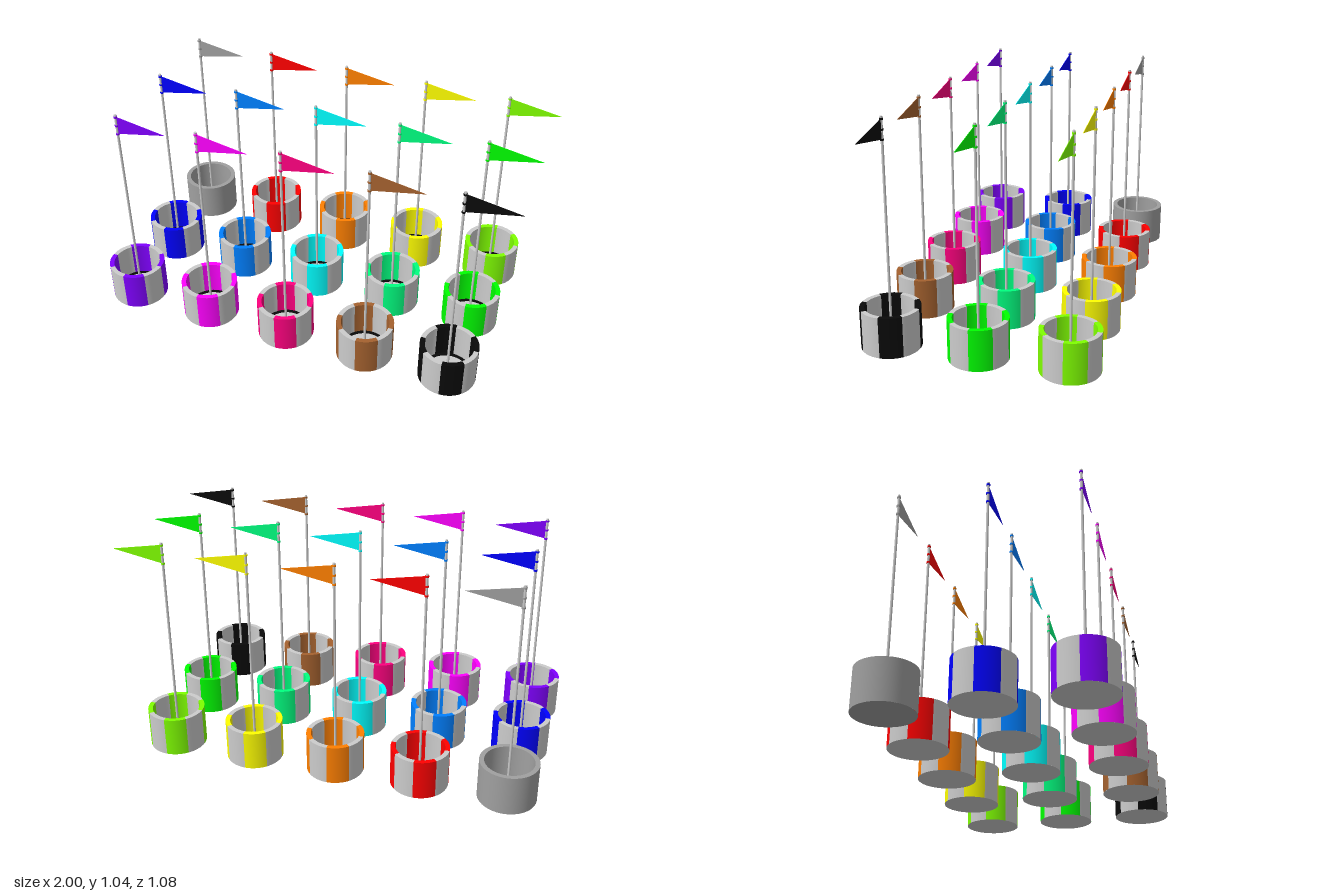
import * as THREE from 'three';
import { mergeGeometries } from 'three/addons/utils/BufferGeometryUtils.js';

const R = 0.135, INNER = 0.113, HEIGHT = 0.19, FLOOR = 0.02;
const SPACING = 0.405, FIRST_X = -0.865, POLE_TOP = 1.04;

// Rows run from back to front, each from right to left of the model
const GREY = 0xcccccc;
const COLORS = [
  [0xa0a0a0, 0xff0000, 0xff8000, 0xffff00, 0x80ff00],
  [0x0000ff, 0x0080ff, 0x00ffff, 0x00ff80, 0x00ff00],
  [0x8000ff, 0xff00ff, 0xff0080, 0xa5622f, 0x0a0a0a],
];

// Revolve each straight edge of a profile on its own so corners stay sharp
function revolve(profile, start = 0, length = Math.PI * 2, segments = 48) {
  const pts = profile.map(([x, y]) => new THREE.Vector2(x, y));
  const edges = [];
  for (let i = 0; i < pts.length - 1; i++) {
    edges.push(new THREE.LatheGeometry([pts[i], pts[i + 1]], segments, start, length));
  }
  return mergeGeometries(edges);
}

// Four alternating eighths of the cup wall
function wallStripes(offset) {
  const wall = [[R, 0], [R, HEIGHT], [INNER, HEIGHT], [INNER, FLOOR]];
  const parts = [];
  for (let i = offset; i < 8; i += 2) {
    parts.push(revolve(wall, i * Math.PI / 4, Math.PI / 4, 8));
  }
  return mergeGeometries(parts);
}

// Thin triangular pennant pointing to +x
function pennant() {
  const shape = new THREE.Shape();
  shape.moveTo(0, 0.94);
  shape.lineTo(0.245, 0.985);
  shape.lineTo(0, 1.03);
  shape.closePath();
  const g = new THREE.ExtrudeGeometry(shape, { depth: 0.002, bevelEnabled: false });
  return g.translate(0, 0, -0.001);
}

export function createModel() {
  const model = new THREE.Group();
  model.name = 'flagCups';

  const material = (color) => new THREE.MeshStandardMaterial({ color });
  const grey = material(GREY);
  const black = material(0x0a0a0a);

  const colouredWall = wallStripes(0);
  const greyWall = wallStripes(1);
  const bottom = revolve([[0, 0], [R, 0]]);
  const floor = revolve([[INNER, FLOOR], [0, FLOOR]]);
  const floorRing = revolve([[INNER, FLOOR + 0.004], [0.099, FLOOR + 0.004], [0.099, FLOOR]]);
  const pole = new THREE.CylinderGeometry(0.006, 0.006, POLE_TOP - FLOOR, 16);
  pole.translate(0, (POLE_TOP + FLOOR) / 2, 0);
  const flag = pennant();
  const clips = mergeGeometries([0.94, 0.983, 1.028].map((y) =>
    new THREE.CylinderGeometry(0.0085, 0.0085, 0.008, 16).translate(0, y, 0)));

  COLORS.forEach((row, r) => row.forEach((color, c) => {
    const unit = new THREE.Group();
    unit.name = `cupWithFlag${r * 5 + c + 1}`;
    const add = (name, geometry, mat) => {
      const mesh = new THREE.Mesh(geometry, mat);
      mesh.name = name;
      unit.add(mesh);
    };
    const tint = material(color);
    const base = r === 0 && c === 0 ? tint : grey; // the first cup is one plain grey

    add('colouredWall', colouredWall, tint);
    add('plainWall', greyWall, base);
    add('cupBottom', bottom, base);
    add('cupFloor', floor, base);
    add('floorRing', floorRing, black);
    add('pole', pole, grey);
    add('flag', flag, tint);
    add('flagClips', clips, tint);

    unit.position.set(FIRST_X + c * SPACING, 0, (r - 1) * SPACING);
    model.add(unit);
  }));

  return model;
}
